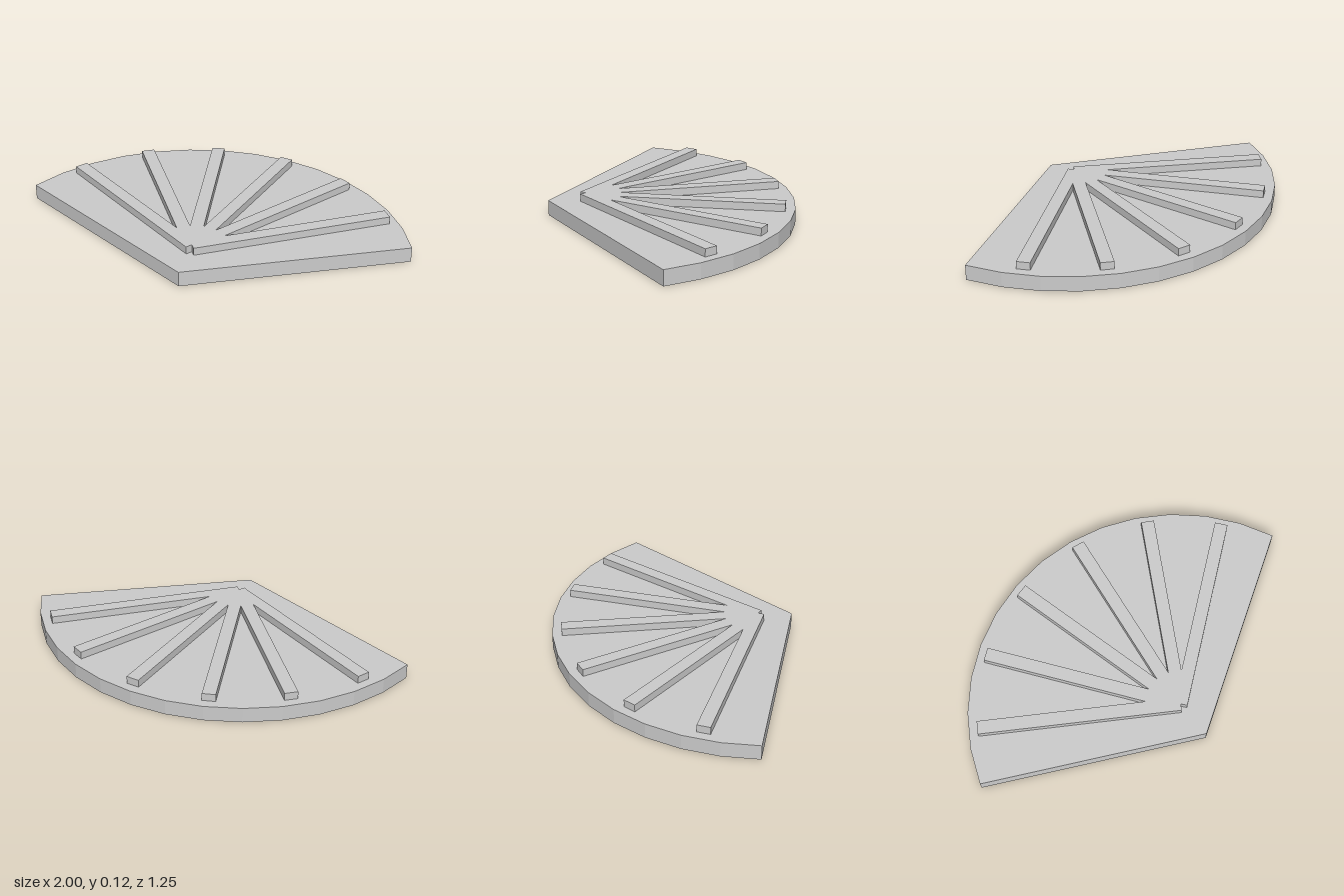
import * as THREE from 'three';

const DEG = Math.PI / 180;
const CENTRE = -0.434; // arc centre in plan, where plan y = -z

// Plan point at angle a from the back direction, distance r, shifted s sideways
const polar = (a, r, s = 0) => new THREE.Vector2(
  Math.sin(a) * r + Math.cos(a) * s,
  CENTRE + Math.cos(a) * r - Math.sin(a) * s
);

// Flat slab with the given plan outline, from height y0 to y1
function slab(name, outline, y0, y1, material) {
  const geometry = new THREE.ExtrudeGeometry(new THREE.Shape(outline), {
    depth: y1 - y0, bevelEnabled: false
  });
  geometry.rotateX(-Math.PI / 2);
  geometry.translate(0, y0, 0);
  const mesh = new THREE.Mesh(geometry, material);
  mesh.name = name;
  return mesh;
}

export function createModel() {
  const group = new THREE.Group();
  group.name = 'fanPanel';
  const grey = new THREE.MeshStandardMaterial({ color: 0xcccccc });
  grey.name = 'light grey';

  // Fan-shaped base: pointed front, faceted arc at the back
  const base = [new THREE.Vector2(0, -0.625)];
  for (let i = -7; i <= 7; i++) base.push(polar(i * 10 * DEG, 1.064));
  group.add(slab('base', base, 0, 0.078, grey));

  // Six radiating ribs joined at the arc centre as one outline
  const count = 6, step = 22 * DEG, half = 0.0335, reach = 1.015;
  const ribs = [];
  for (let i = 0; i < count; i++) {
    const a = (i - (count - 1) / 2) * step;
    if (i === 0) ribs.push(polar(a, 0, -half));
    ribs.push(polar(a, reach, -half), polar(a, reach, half));
    if (i < count - 1) ribs.push(polar(a + step / 2, half / Math.sin(step / 2)));
    else ribs.push(polar(a, 0, half));
  }
  ribs.push(polar(0, 0));
  group.add(slab('ribs', ribs, 0.078, 0.117, grey));

  return group;
}
